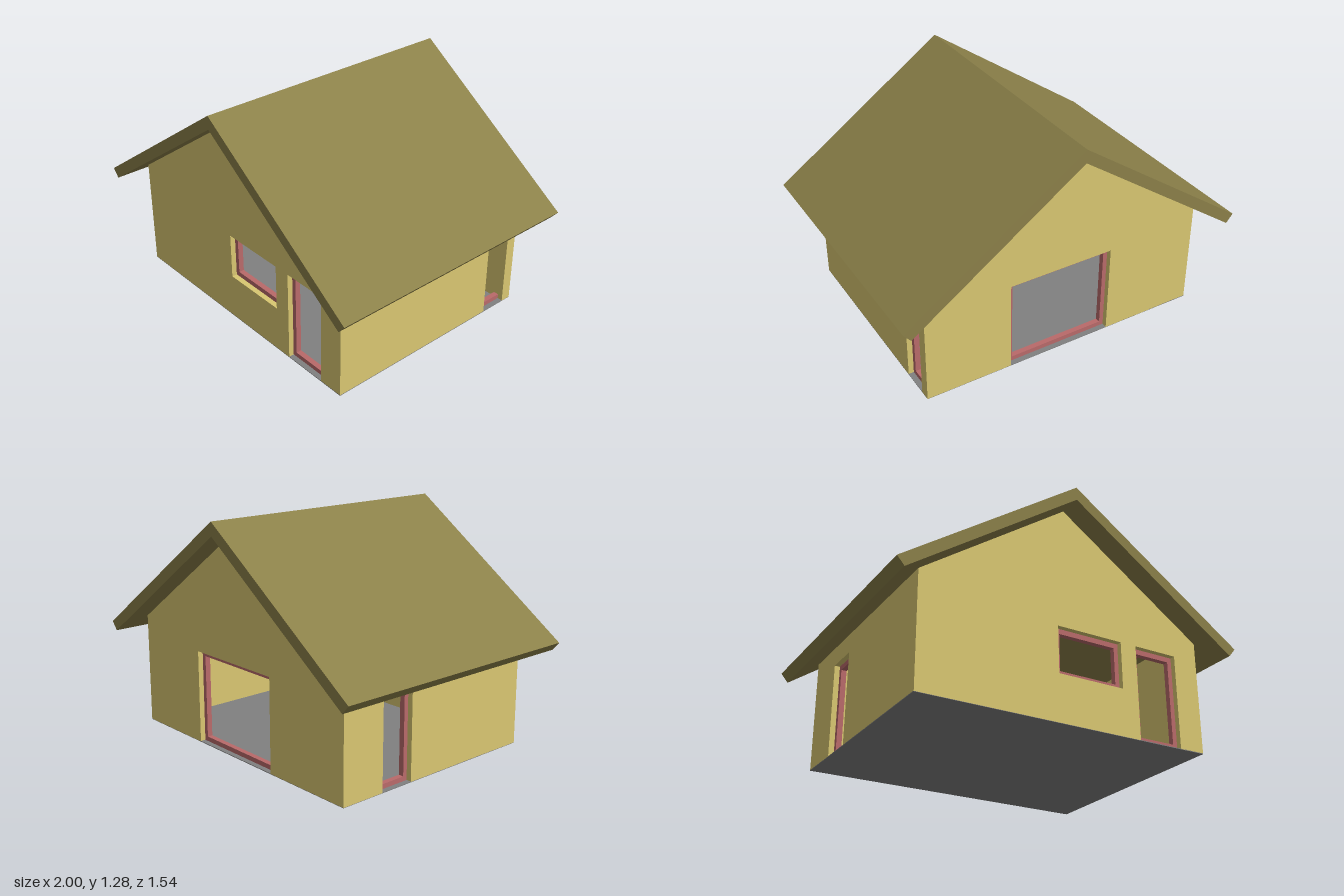
import * as THREE from 'three';

const material = (color) => new THREE.MeshStandardMaterial({ color, flatShading: true });
const T = 0.06;              // wall thickness
const X = 0.83, Z = 0.64;    // outer half width and half depth of the walls
const HEAD = 0.52;           // top of all openings
const EAVE = 0.63, APEX = 1.215;

export function createModel() {
  const house = new THREE.Group();
  house.name = 'house';
  const wallMat = material(0xd9c771);
  const roofMat = material(0x8b8049);
  const frameMat = material(0xb96a6a);
  const floorMat = material(0x808080);

  const outline = (points) => new THREE.Shape(points.map(([x, y]) => new THREE.Vector2(x, y)));
  const extrude = (shape, depth, mat, name) => {
    const mesh = new THREE.Mesh(
      new THREE.ExtrudeGeometry(shape, { depth, bevelEnabled: false }), mat);
    mesh.name = name;
    return mesh;
  };
  const rectHole = (x0, x1, y0, y1) => new THREE.Path([
    new THREE.Vector2(x0, y0), new THREE.Vector2(x0, y1),
    new THREE.Vector2(x1, y1), new THREE.Vector2(x1, y0)]);
  // bottom edge points of an opening that reaches the ground
  const notch = (x0, x1) => [[x0, 0], [x0, HEAD], [x1, HEAD], [x1, 0]];

  // rectangular frame, w is its offset through the wall
  function frame(name, x0, x1, y0, w) {
    const shape = outline([[x0, y0], [x1, y0], [x1, HEAD], [x0, HEAD]]);
    shape.holes.push(rectHole(x0 + 0.025, x1 - 0.025, y0 + 0.028, HEAD - 0.028));
    const mesh = extrude(shape, T / 2, frameMat, name);
    mesh.position.z = w;
    return mesh;
  }

  // a wall with its frames, in its own plane
  function wall(name, shape, ...frames) {
    const group = new THREE.Group();
    group.name = name;
    group.add(extrude(shape, T, wallMat, name + 'Panel'), ...frames);
    group.position.y = 0.002;
    house.add(group);
    return group;
  }
  const gable = (opening) => outline(
    [[-X, 0], ...opening, [X, 0], [X, EAVE], [0, APEX], [-X, EAVE]]);

  // front wall with window and door
  const frontShape = gable(notch(0.43, 0.685));
  frontShape.holes.push(rectHole(-0.05, 0.335, 0.26, HEAD));
  wall('frontWall', frontShape,
    frame('frontWindowFrame', -0.05, 0.335, 0.26, 0),
    frame('frontDoorFrame', 0.43, 0.685, 0, 0)).position.z = Z - T;

  // back wall with wide opening
  wall('backWall', gable(notch(-0.28, 0.335)),
    frame('backDoorFrame', -0.28, 0.335, 0, T / 2)).position.z = -Z;

  // side walls, tops tucked into the roof
  const S = Z - T, TOP = 0.66;
  const side = (name, x, bottom, doorFrame) => {
    const g = wall(name, outline([...bottom, [S, 0], [S, TOP], [-S, TOP]]), doorFrame);
    g.rotation.y = -Math.PI / 2;
    g.position.x = x;
  };
  // this door runs up against the back wall
  side('sideWallWithCornerDoor', X, [[-S, HEAD], [-0.425, HEAD], [-0.425, 0]],
    frame('cornerDoorFrame', -0.625, -0.425, 0, T / 2));
  side('sideWallWithDoor', -X + T, [[-S, 0], ...notch(-0.38, -0.18)],
    frame('sideDoorFrame', -0.38, -0.18, 0, 0));

  // pitched roof
  const roof = extrude(outline([[0, 1.285], [-1, 0.585], [-0.96, 0.538],
    [0, 1.21], [0.96, 0.538], [1, 0.585]]), 1.54, roofMat, 'roof');
  roof.position.z = -0.77;
  house.add(roof);

  // floor slab
  const floor = new THREE.Mesh(new THREE.BoxGeometry(2 * X, 0.004, 2 * Z), floorMat);
  floor.name = 'floor';
  floor.position.y = 0.002;
  house.add(floor);

  return house;
}
